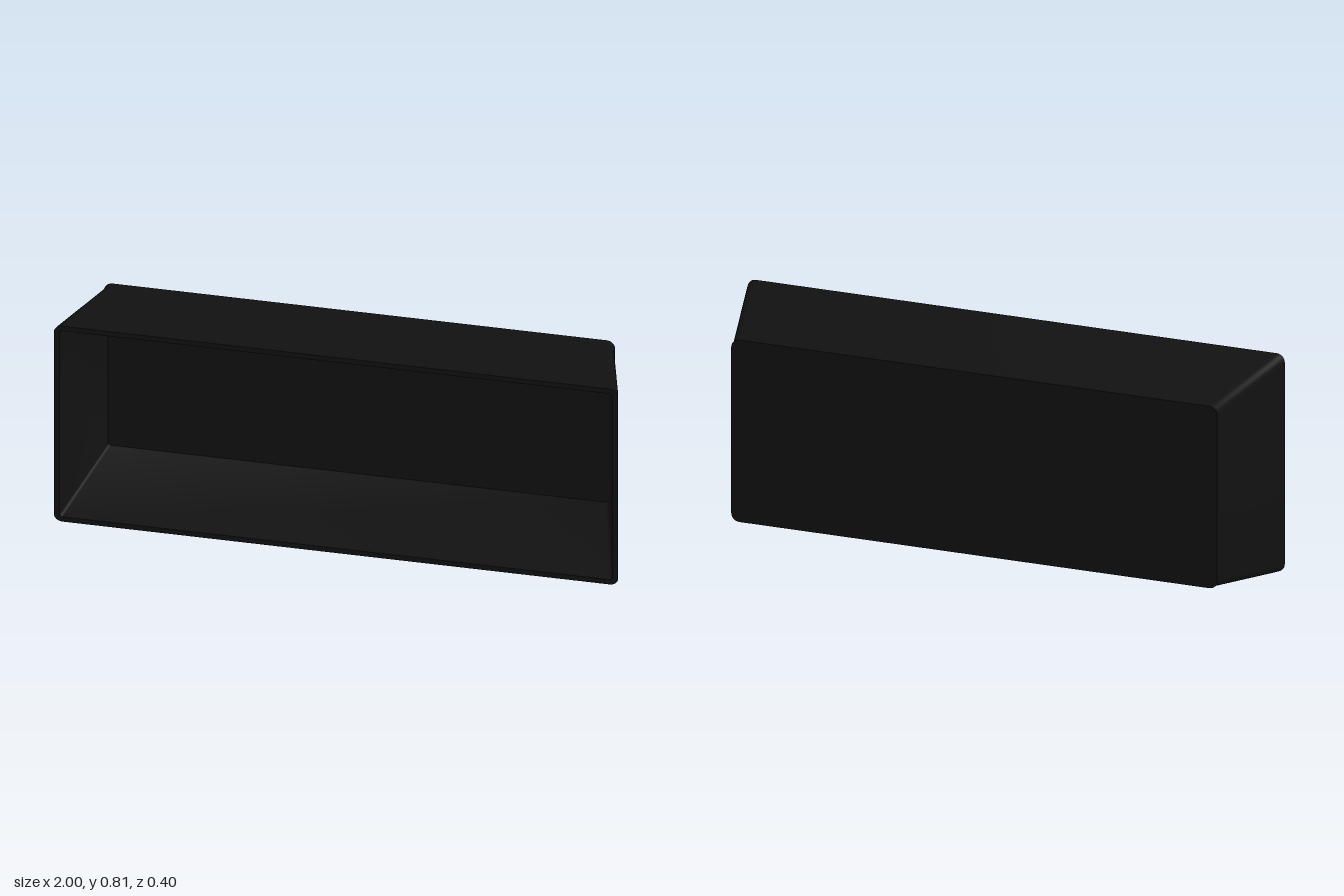
import * as THREE from 'three';
import { toCreasedNormals } from 'three/addons/utils/BufferGeometryUtils.js';

const MID_Y = 0.405;
const CORNER_STEPS = 6;

// Rounded rectangle loop at depth z, counter-clockwise from the front.
function ring([halfW, halfH, radius, z]) {
  const points = [];
  const signs = [[1, 1], [-1, 1], [-1, -1], [1, -1]];
  signs.forEach(([sx, sy], corner) => {
    for (let i = 0; i <= CORNER_STEPS; i++) {
      const a = (corner + i / CORNER_STEPS) * Math.PI / 2;
      points.push([
        sx * (halfW - radius) + radius * Math.cos(a),
        MID_Y + sy * (halfH - radius) + radius * Math.sin(a),
        z,
      ]);
    }
  });
  return points;
}

// Skin through successive loops, closed by a flat fan at both ends.
function skin(sections) {
  const rings = sections.map(ring);
  const n = rings[0].length;
  const pos = [];
  const tri = (a, b, c) => pos.push(...a, ...b, ...c);
  const first = rings[0], last = rings[rings.length - 1];
  const startCentre = [0, MID_Y, first[0][2]];
  const endCentre = [0, MID_Y, last[0][2]];
  for (let i = 0; i < n; i++) {
    const j = (i + 1) % n;
    tri(startCentre, first[j], first[i]);
    for (let k = 0; k < rings.length - 1; k++) {
      const a = rings[k], b = rings[k + 1];
      tri(a[i], a[j], b[j]);
      tri(a[i], b[j], b[i]);
    }
    tri(endCentre, last[i], last[j]);
  }
  const geometry = new THREE.BufferGeometry();
  geometry.setAttribute('position', new THREE.Float32BufferAttribute(pos, 3));
  return toCreasedNormals(geometry, 0.5);
}

export function createModel() {
  const group = new THREE.Group();
  group.name = 'taperedTray';

  // Half width, half height, corner radius, z: outside from the back to the
  // rim, then inside from the rim to the floor.
  const sections = [
    [0.905, 0.338, 0.03, -0.2],
    [0.905, 0.338, 0.03, -0.182],
    [0.997, 0.403, 0.03, 0.185],
    [1.0, 0.405, 0.03, 0.2],
    [0.98, 0.385, 0.012, 0.2],
    [0.887, 0.32, 0.012, -0.18],
  ];
  const tray = new THREE.Mesh(
    skin(sections),
    new THREE.MeshStandardMaterial({ color: 0x111111 })
  );
  tray.name = 'trayShell';
  group.add(tray);
  return group;
}
